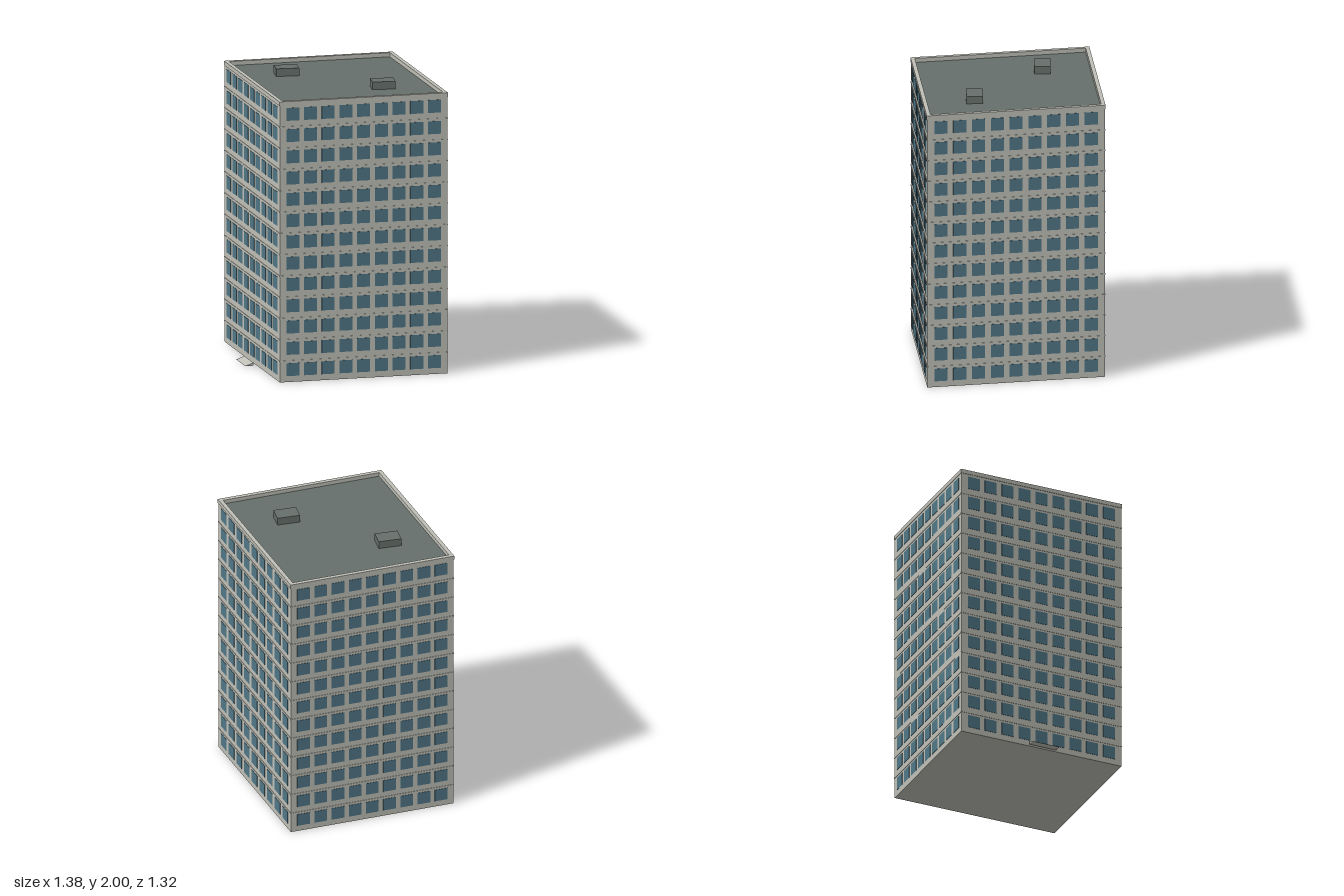
import * as THREE from 'three';
import { mergeGeometries } from 'three/addons/utils/BufferGeometryUtils.js';

const FLOORS = 13, BAYS = 9, STOREY = 0.1497;

// Half-edges of the skewed footprint, as (x, z)
const U = new THREE.Vector2(0.59, -0.045);
const V = new THREE.Vector2(0.098, 0.613);

// Footprint corners pulled in by a margin, in shape space (x, -z)
function footprint(inset) {
  const u = U.clone().setLength(U.length() - inset);
  const v = V.clone().setLength(V.length() - inset);
  return [[-1, 1], [1, 1], [1, -1], [-1, -1]].map(([a, b]) =>
    new THREE.Vector2(a * u.x + b * v.x, -(a * u.y + b * v.y)));
}

// Upright prism over the footprint, optionally hollow
function prism(inset, y0, y1, holeInset) {
  const shape = new THREE.Shape(footprint(inset));
  if (holeInset) shape.holes.push(new THREE.Path(footprint(holeInset).reverse()));
  const g = new THREE.ExtrudeGeometry(shape, { depth: y1 - y0, bevelEnabled: false });
  return g.rotateX(-Math.PI / 2).translate(0, y0, 0);
}

export function createModel() {
  const group = new THREE.Group();
  const wall = new THREE.MeshStandardMaterial({ name: 'pale concrete', color: 0xc0c0b8 });
  const glass = new THREE.MeshStandardMaterial({ name: 'blue glass', color: 0x507686 });
  const roof = new THREE.MeshStandardMaterial({ name: 'grey green roof', color: 0x66706b });
  const add = (name, geometry, material) => {
    const mesh = new THREE.Mesh(geometry, material);
    mesh.name = name;
    group.add(mesh);
    return mesh;
  };

  // Tower body, parapet and roof deck
  add('walls', prism(0.004, 0, 1.94), wall);
  add('parapet', prism(0, 1.946, 1.975, 0.028), wall);
  add('parapetBase', prism(0.004, 1.94, 1.946, 0.028), wall);
  add('roofDeck', prism(0.028, 1.94, 1.946), roof);

  // Thin ledge at every floor line
  const ledges = [];
  for (let f = 1; f < FLOORS; f++) {
    ledges.push(prism(0.001, f * STOREY - 0.004, f * STOREY + 0.002, 0.02));
  }
  add('floorLedges', mergeGeometries(ledges), wall);

  // Window plates on the four sides
  const sides = [
    ['front', U, V],
    ['left', V.clone().negate(), U],
    ['back', U.clone().negate(), V.clone().negate()],
    ['right', V, U.clone().negate()],
  ];
  for (const [name, along, out] of sides) {
    const angle = Math.atan2(-along.y, along.x);
    const centre = out.clone().setLength(out.length() - 0.004);
    const panes = [];
    for (let f = 0; f < FLOORS; f++) {
      for (let b = 0; b < BAYS; b++) {
        const t = (b - (BAYS - 1) / 2) * 0.21;
        const pane = new THREE.BoxGeometry(0.091, 0.09, 0.005);
        pane.rotateY(angle);
        pane.translate(centre.x + along.x * t, 0.087 + f * STOREY, centre.y + along.y * t);
        panes.push(pane);
      }
    }
    add(name + 'Windows', mergeGeometries(panes), glass);
  }

  // Roof housings
  for (const [x, z] of [[-0.305, -0.24], [0.287, 0.235]]) {
    const box = add('roofHousing', new THREE.BoxGeometry(0.16, 0.056, 0.112), roof);
    box.position.set(x, 1.972, z);
  }

  // Small entrance ramp rising toward the wall
  const wedge = new THREE.Shape([
    new THREE.Vector2(-0.029, 0), new THREE.Vector2(0.029, 0), new THREE.Vector2(0.029, 0.02),
  ]);
  const rampGeometry = new THREE.ExtrudeGeometry(wedge, { depth: 0.204, bevelEnabled: false });
  rampGeometry.translate(0, 0, -0.102);
  const ramp = add('entranceRamp', rampGeometry, wall);
  ramp.position.set(-0.638, 0, 0.05);
  ramp.rotation.y = Math.atan2(V.x, V.y);

  return group;
}
